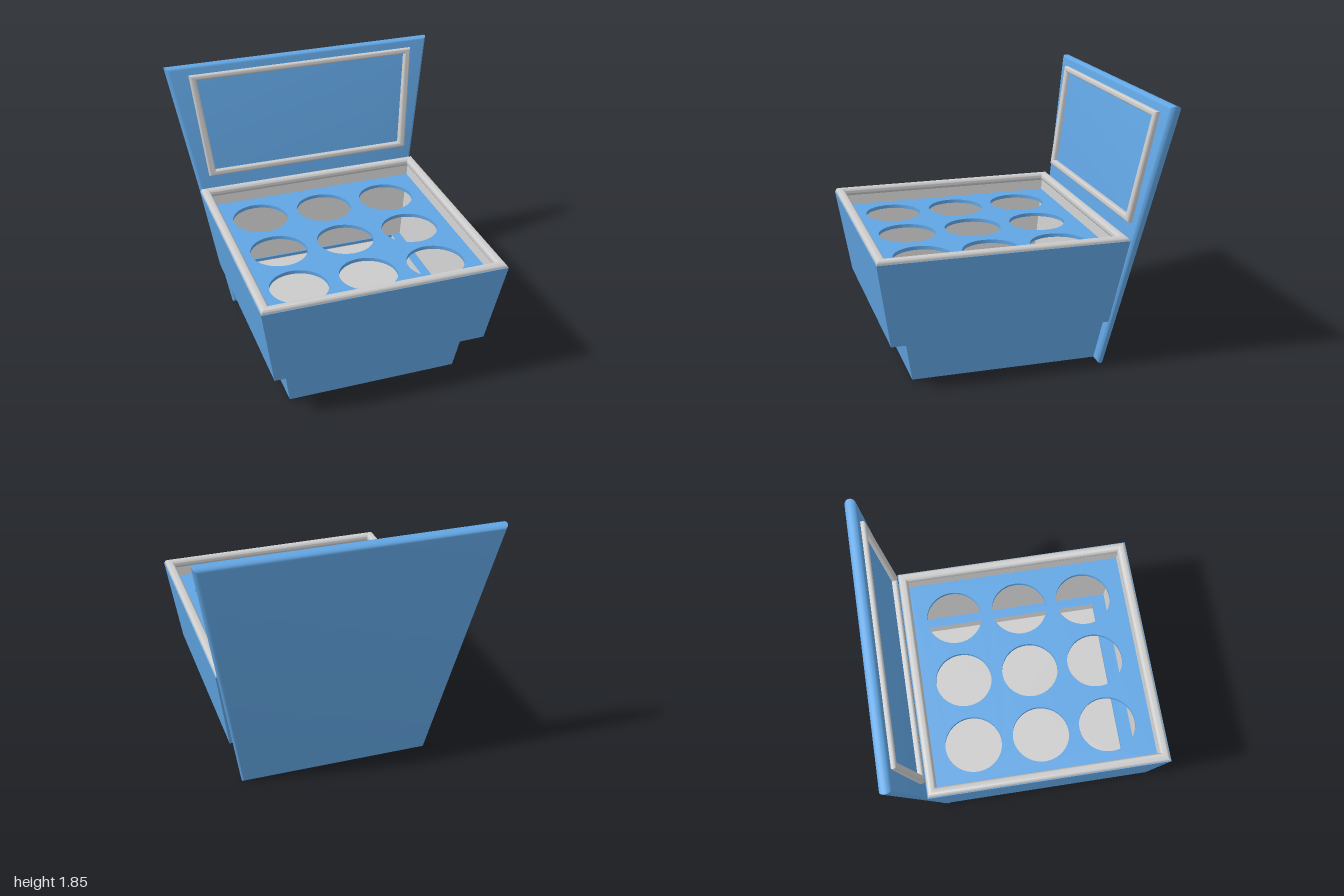
import * as THREE from 'three';
import { toCreasedNormals } from 'three/addons/utils/BufferGeometryUtils.js';

const blue = new THREE.MeshStandardMaterial({ color: 0x62a6e4, side: THREE.DoubleSide });
const grey = new THREE.MeshStandardMaterial({ color: 0xcccccc, side: THREE.DoubleSide });

function part(name, geometry, material) {
  const mesh = new THREE.Mesh(toCreasedNormals(geometry, 0.6), material);
  mesh.name = name;
  return mesh;
}

// Four-sided shell: profile of [half width, height] points swept round a square
function squareShell(profile) {
  const pts = profile.map(([h, y]) => new THREE.Vector2(h * Math.SQRT2, y));
  return new THREE.LatheGeometry(pts, 4, Math.PI / 4);
}

// Trapezoid outline from y0 to y1 with half widths w0 and w1
function trapezoid(w0, w1, y0, y1, Type = THREE.Shape) {
  return new Type([[-w0, y0], [w0, y0], [w1, y1], [-w1, y1]].map(([x, y]) => new THREE.Vector2(x, y)));
}

function frame(outer, inner) {
  const shape = trapezoid(...outer);
  shape.holes.push(trapezoid(...inner, THREE.Path));
  return shape;
}

// Extrusion with fully rounded edges of the given radius
function extrude(shape, depth, radius = 0) {
  return new THREE.ExtrudeGeometry(shape, {
    depth, bevelEnabled: radius > 0, bevelSize: radius, bevelThickness: radius,
    bevelSegments: 6, curveSegments: 48,
  });
}

export function createModel() {
  const model = new THREE.Group();
  const boxZ = 0.122;

  // Lower base, open at the top, with a grey inside floor
  const base = new THREE.Group();
  base.name = 'base';
  base.add(
    part('baseShell', squareShell([[0, 0.02], [0.6, 0.02], [0.65, 0.345], [0.63, 0.345]]), blue),
    part('baseLiner', squareShell([[0.63, 0.36], [0.62, 0.3], [0, 0.3]]), grey),
  );
  base.scale.z = 1.085;
  base.position.z = 0.052;
  model.add(base);

  // Upper box with flared walls and grey lining
  const box = new THREE.Group();
  box.name = 'box';
  box.position.z = boxZ;
  box.add(
    part('boxShell', squareShell([[0.735, 0.338], [0.745, 0.338], [0.84, 0.935], [0.785, 0.935]]), blue),
    part('boxLiner', squareShell([[0.785, 0.935], [0.7, 0.36]]), grey),
  );

  // Ledge around the opening into the base
  const ledge = part('ledge', extrude(
    frame([0.74, 0.74, -0.74, 0.74], [0.63, 0.63, -0.69, 0.6]), 0.022).rotateX(Math.PI / 2), blue);
  ledge.position.y = 0.36;
  box.add(ledge);

  // Shelf with nine round holes
  const shelfShape = trapezoid(0.771, 0.771, -0.771, 0.771);
  for (const x of [-0.483, 0, 0.483]) {
    for (const z of [-0.477, -0.002, 0.468]) {
      shelfShape.holes.push(new THREE.Path().absarc(x, z, 0.197, 0, Math.PI * 2, true));
    }
  }
  const shelf = part('shelf', extrude(shelfShape, 0.025).rotateX(Math.PI / 2), blue);
  shelf.position.y = 0.84;
  box.add(shelf);

  // Rounded seal along the box rim
  const rim = part('rimSeal', extrude(
    frame([0.807, 0.807, -0.807, 0.807], [0.799, 0.799, -0.799, 0.799]), 0.005, 0.028).rotateX(Math.PI / 2), grey);
  rim.position.y = 0.936;
  box.add(rim);
  model.add(box);

  // Leaning lid panel, thicker and wider towards the top
  const lid = new THREE.Group();
  lid.name = 'lid';
  lid.position.z = -0.602;
  lid.rotation.x = -THREE.MathUtils.degToRad(10);
  const length = 1.88, r = 0.03;
  const panelGeo = extrude(trapezoid(0.643, 0.965, r, length - r), 0.004, r).translate(0, 0, -0.002);
  const p = panelGeo.attributes.position;
  for (let i = 0; i < p.count; i++) {
    p.setZ(i, p.getZ(i) * THREE.MathUtils.lerp(0.82, 1.25, p.getY(i) / length));
  }
  lid.add(part('lidPanel', panelGeo, blue));

  // Raised seal on the inside of the lid
  const seal = part('lidSeal', extrude(
    frame([0.752, 0.827, 1.063, 1.793], [0.733, 0.809, 1.073, 1.783]), 0.03, 0.016), grey);
  seal.position.set(0.01, 0, 0.026);
  lid.add(seal);
  model.add(lid);

  return model;
}
